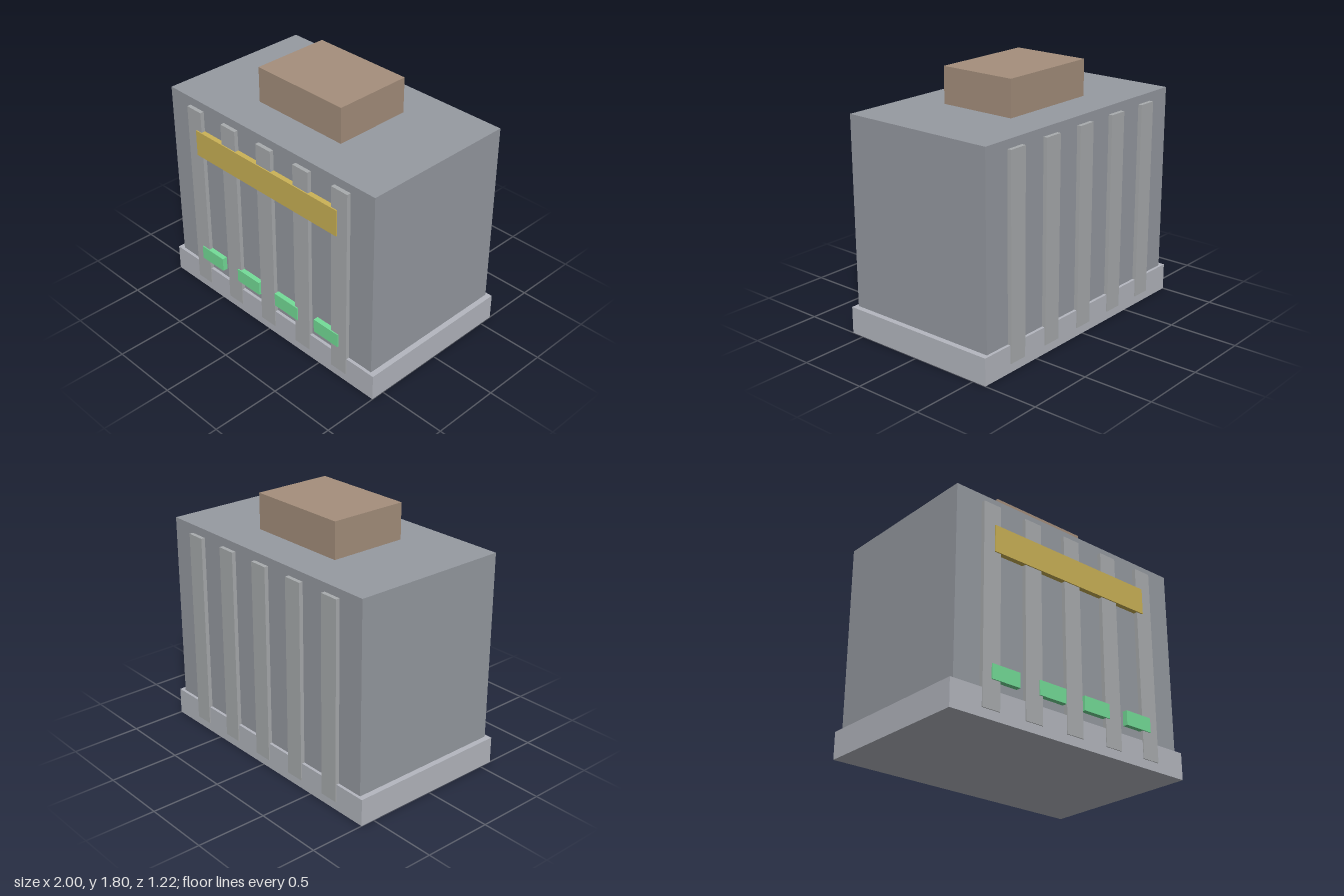
import * as THREE from 'three';

const material = (color) => new THREE.MeshStandardMaterial({ color });

// Box given by its lower and upper limits along each axis
function block(name, [x0, x1], [y0, y1], [z0, z1], mat) {
  const mesh = new THREE.Mesh(new THREE.BoxGeometry(x1 - x0, y1 - y0, z1 - z0), mat);
  mesh.position.set((x0 + x1) / 2, (y0 + y1) / 2, (z0 + z1) / 2);
  mesh.name = name;
  return mesh;
}

export function createModel() {
  const model = new THREE.Group();
  model.name = 'building';
  const finMat = material(0xa9acae);
  const lampMat = material(0x74dd98);

  // Plinth, main hall and rooftop unit
  model.add(
    block('plinth', [-1, 1], [0, 0.192], [-0.602, 0.598], material(0xb4b7bf)),
    block('mainHall', [-0.96, 0.96], [0.192, 1.54], [-0.581, 0.575], material(0x969aa1)),
    block('rooftopUnit', [-0.383, 0.383], [1.54, 1.797], [-0.291, 0.285], material(0xa58f7c))
  );

  // Five vertical fins on the front and on the back
  for (let i = -2; i <= 2; i++) {
    const x = i * 0.345;
    const width = [x - 0.069, x + 0.069];
    model.add(
      block('frontFin', width, [0.064, 1.48], [0.56, 0.604], finMat),
      block('backFin', width, [0.064, 1.48], [-0.61, -0.566], finMat)
    );
  }

  // Sign band across the front fins
  model.add(block('signBand', [-0.672, 0.672], [1.138, 1.33], [0.573, 0.612], material(0xcbb256)));

  // Row of lamps near the foot of the front
  for (let i = 0; i < 4; i++) {
    const x = (i - 1.5) * 0.385;
    model.add(block('lamp', [x - 0.112, x + 0.112], [0.26, 0.362], [0.573, 0.612], lampMat));
  }
  return model;
}
